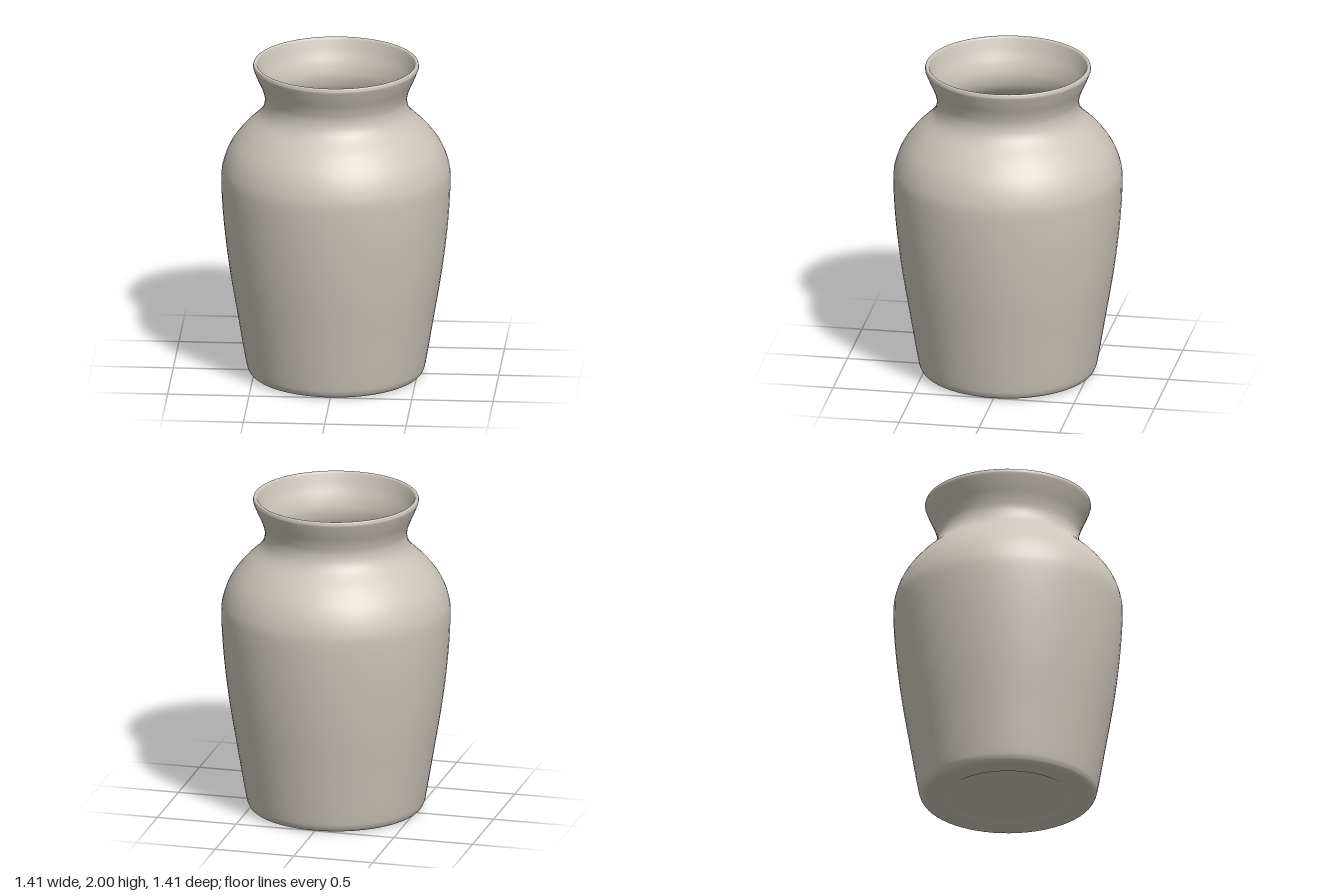
import * as THREE from 'three';

const SEGMENTS = 64;
const vec = ([r, y]) => new THREE.Vector2(r, y);
const smooth = (points, count) => new THREE.SplineCurve(points.map(vec)).getPoints(count);

// Lathe profiles run so that the visible side faces front
function lathe(name, points, material) {
  const mesh = new THREE.Mesh(new THREE.LatheGeometry(points, SEGMENTS), material);
  mesh.name = name;
  return mesh;
}

export function createModel() {
  const clay = new THREE.MeshStandardMaterial({ color: 0xcbc5bb });
  clay.name = 'warm grey ceramic';

  const vase = new THREE.Group();
  vase.name = 'vase';

  // Underside: shallow recessed disc inside a rounded foot ring
  vase.add(lathe('recessedBase', [[0, 0.025], [0.35, 0.025]].map(vec), clay));
  vase.add(lathe('footRing', smooth([
    [0.35, 0.025], [0.37, 0.018], [0.395, 0.005], [0.43, 0], [0.49, 0.002],
  ], 16), clay));

  // Outer wall: tapered body, round shoulder, pinched neck, flared lip
  vase.add(lathe('outerWall', smooth([
    [0.49, 0.002], [0.52, 0.01], [0.54, 0.035], [0.555, 0.095], [0.6, 0.36],
    [0.655, 0.695], [0.69, 1.0], [0.703, 1.25], [0.69, 1.36], [0.645, 1.47],
    [0.565, 1.575], [0.465, 1.675], [0.436, 1.755], [0.449, 1.83],
    [0.483, 1.91], [0.507, 1.97], [0.508, 1.985],
  ], 96), clay));

  // Rounded rim
  vase.add(lathe('rim', smooth([
    [0.508, 1.985], [0.505, 1.997], [0.496, 2], [0.486, 1.995], [0.48, 1.98],
  ], 12), clay));

  // Inner wall follows the outside at an even thickness
  vase.add(lathe('innerWall', smooth([
    [0.48, 1.98], [0.457, 1.915], [0.424, 1.835], [0.411, 1.755], [0.44, 1.665],
    [0.545, 1.56], [0.622, 1.46], [0.666, 1.355], [0.678, 1.25], [0.665, 1.0],
    [0.63, 0.695], [0.575, 0.36], [0.53, 0.11], [0.51, 0.065], [0.47, 0.05],
  ], 84), clay));

  // Inside floor
  vase.add(lathe('innerFloor', [[0.47, 0.05], [0, 0.05]].map(vec), clay));

  return vase;
}
